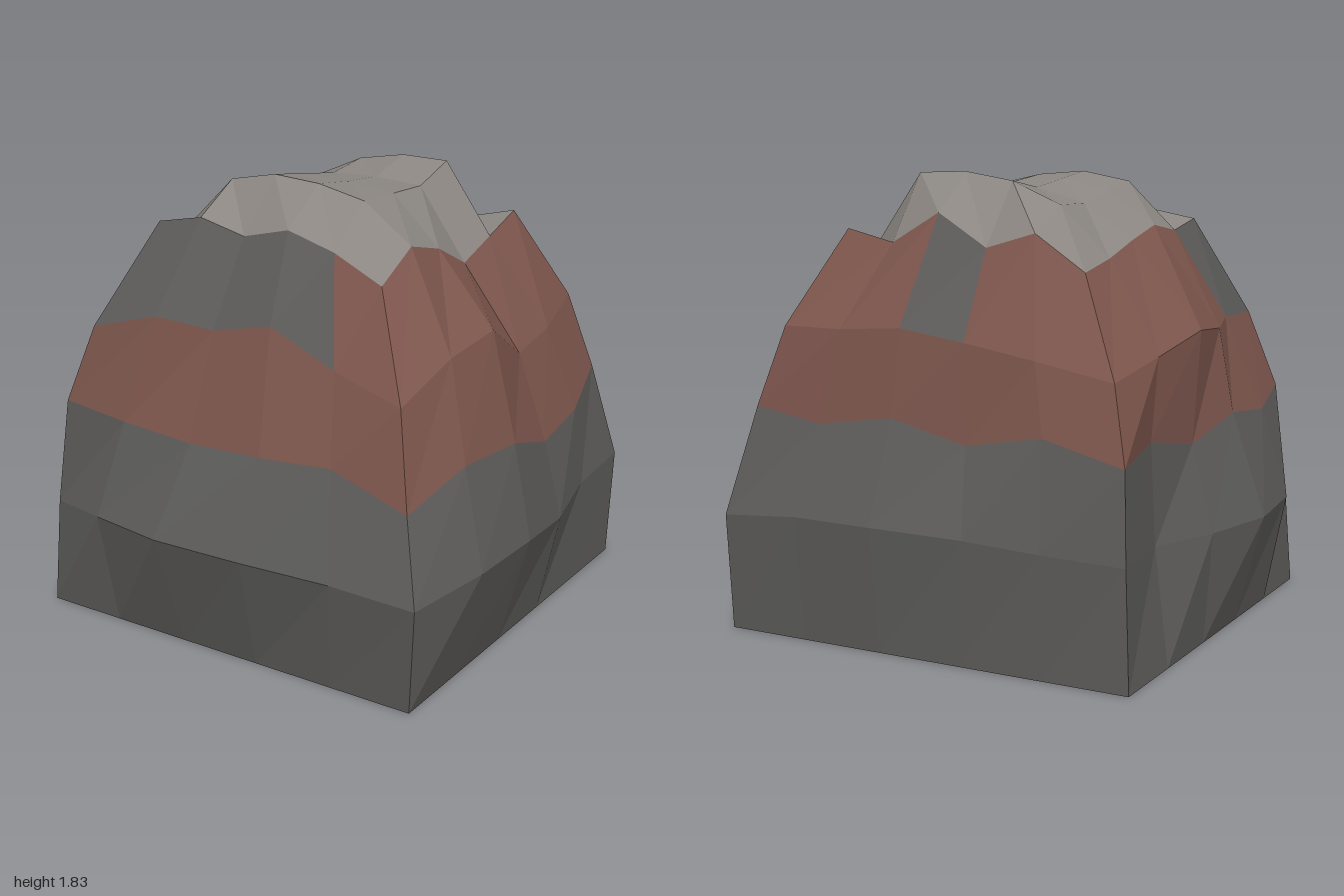
import * as THREE from 'three';

const material = (name, color) => {
  const m = new THREE.MeshStandardMaterial({ color, side: THREE.DoubleSide, flatShading: true });
  m.name = name;
  return m;
};

// Five steps between two values
const step = (a, b, i) => a + (b - a) * i / 5;

// Walk round a square in 20 points: front, right, back, left
function squareRing(x0, x1, z0, z1, height) {
  const ring = [];
  for (let s = 0; s < 4; s++) {
    for (let i = 0; i < 5; i++) {
      const x = [step(x0, x1, i), x1, step(x1, x0, i), x0][s];
      const z = [z1, step(z1, z0, i), z0, step(z0, z1, i)][s];
      ring.push([x, height(x, z), z]);
    }
  }
  return ring;
}

// Cross-sections, four points or corners per side, in the same order
const bulge = [
  [-.86, .45, .80], [-.58, .47, .88], [-.22, .485, .96], [.18, .48, .94], [.55, .465, .89],
  [.90, .44, .86], [.99, .48, .52], [1, .48, .15], [.94, .42, -.25], [.87, .44, -.60],
  [.87, .47, -.95], [.52, .50, -.965], [.17, .50, -.975], [-.22, .49, -.95], [-.53, .47, -.93],
  [-.87, .46, -.92], [-.82, .45, -.55], [-.92, .44, -.22], [-1, .44, .14], [-.97, .45, .50],
];
const waist = [
  [-.82, .89, .76], [-.51, .86, .77], [-.16, .845, .79], [.17, .855, .79], [.48, .87, .77],
  [.81, .76, .77], [.88, .87, .47], [.91, .86, .13], [.87, .75, -.22], [.85, .79, -.54],
  [.79, .90, -.83], [.49, .85, -.83], [.15, .90, -.84], [-.17, .82, -.83], [-.50, .88, -.85],
  [-.84, .80, -.87], [-.79, .84, -.53], [-.82, .78, -.20], [-.86, .86, .13], [-.87, .83, .45],
];
const shoulder = [
  [-.71, 1.21, .70], [-.41, 1.29, .67], [-.14, 1.27, .65], [.13, 1.33, .65], [.41, 1.20, .64],
  [.73, 1.13, .69], [.77, 1.25, .40], [.79, 1.29, .11], [.75, 1.11, -.20], [.74, 1.15, -.47],
  [.69, 1.22, -.77], [.42, 1.22, -.78], [.14, 1.24, -.79], [-.14, 1.20, -.79], [-.44, 1.15, -.79],
  [-.76, 1.09, -.79], [-.79, 1.15, -.47], [-.83, 1.22, -.15], [-.80, 1.20, .12], [-.73, 1.22, .37],
];

// Heights of the crown, rows from back to front
const crownHeights = [
  [1.46, 1.60, 1.54, 1.67, 1.55, 1.60],
  [1.50, 1.70, 1.79, 1.825, 1.82, 1.53],
  [1.56, 1.70, 1.76, 1.765, 1.75, 1.46],
  [1.61, 1.75, 1.79, 1.78, 1.755, 1.56],
  [1.58, 1.78, 1.82, 1.805, 1.76, 1.61],
  [1.62, 1.66, 1.61, 1.66, 1.60, 1.50],
];
const X0 = -.54, X1 = .51, Z0 = -.58, Z1 = .47;
const crownHeight = (x, z) =>
  crownHeights[Math.round((z - Z0) / .21)][Math.round((x - X0) / .21)];

function quadMesh(name, quads, mat) {
  const pos = [];
  for (const [a, b, c, d] of quads) pos.push(...a, ...b, ...c, ...a, ...c, ...d);
  const geometry = new THREE.BufferGeometry();
  geometry.setAttribute('position', new THREE.Float32BufferAttribute(pos, 3));
  geometry.computeVertexNormals();
  const mesh = new THREE.Mesh(geometry, mat);
  mesh.name = name;
  return mesh;
}

// Quads joining two rings
const band = (low, high) => low.map((p, i) => {
  const j = (i + 1) % low.length;
  return [p, low[j], high[j], high[i]];
});

export function createModel() {
  const darkStone = material('darkStone', 0x5d5c5a);
  const redStone = material('redStone', 0x7d564d);
  const lightStone = material('lightStone', 0x8b8681);

  const base = squareRing(-.89, .86, -.93, .82, () => 0);
  const rim = squareRing(X0, X1, Z0, Z1, crownHeight);

  // Upper band: grey on the front, one back panel and one left panel
  const upper = band(shoulder, rim);
  const isGrey = i => i < 4 || i === 12 || i === 19;

  // Crown grid
  const point = (i, j) => [step(X0, X1, i), crownHeights[j][i], step(Z0, Z1, j)];
  const crown = [];
  for (let j = 0; j < 5; j++) {
    for (let i = 0; i < 5; i++) {
      crown.push([point(i, j), point(i, j + 1), point(i + 1, j + 1), point(i + 1, j)]);
    }
  }

  const group = new THREE.Group();
  group.name = 'rock';
  group.add(
    quadMesh('foot', band(base, bulge), darkStone),
    quadMesh('lowerBand', band(bulge, waist), darkStone),
    quadMesh('redBand', band(waist, shoulder), redStone),
    quadMesh('upperRedPanels', upper.filter((q, i) => !isGrey(i)), redStone),
    quadMesh('upperGreyPanels', upper.filter((q, i) => isGrey(i)), darkStone),
    quadMesh('crown', crown, lightStone),
  );
  return group;
}
